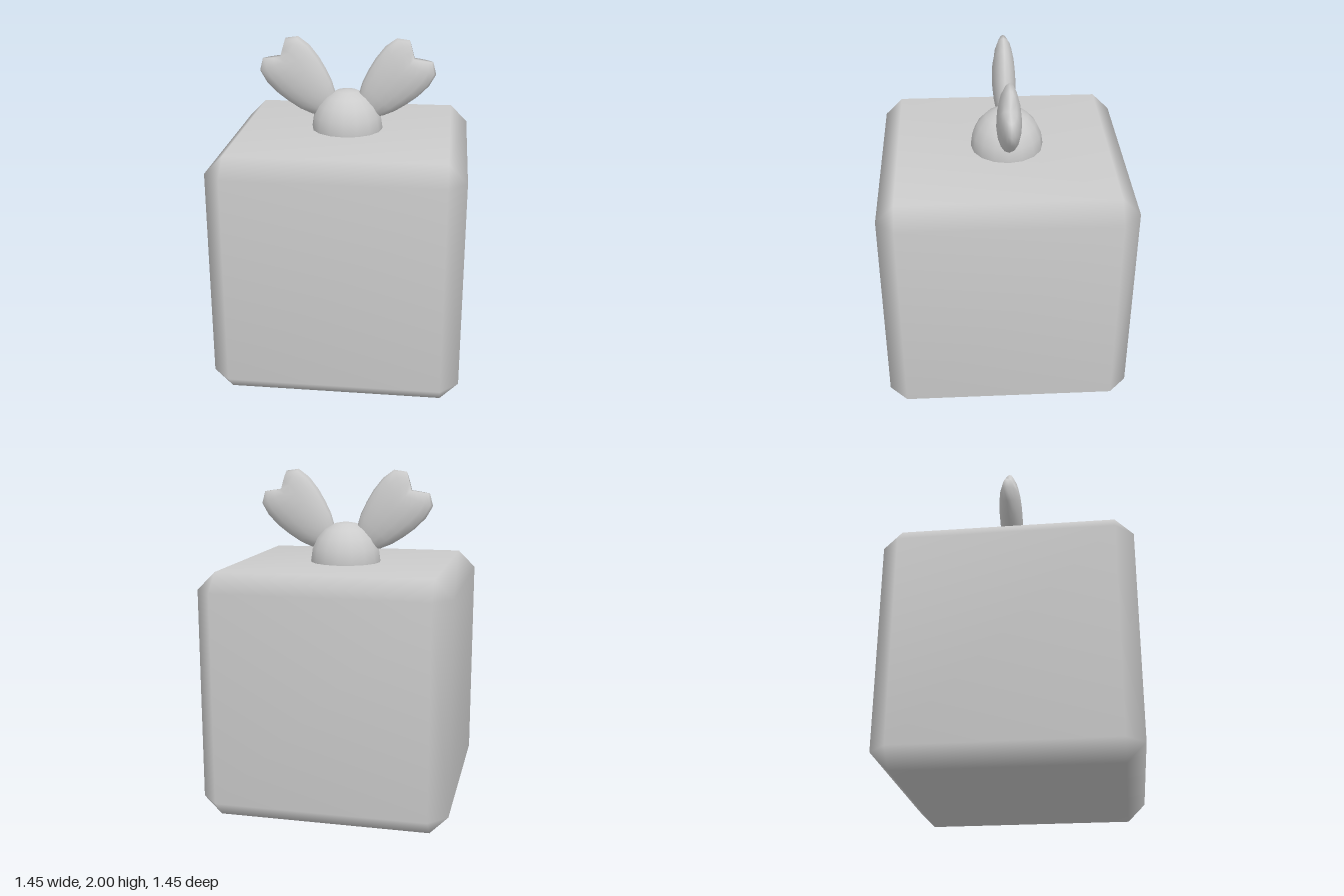
import * as THREE from 'three';
import { ConvexGeometry } from 'three/addons/geometries/ConvexGeometry.js';
import { mergeVertices } from 'three/addons/utils/BufferGeometryUtils.js';

const material = new THREE.MeshStandardMaterial({ color: 0xcccccc });

// Weld shared corners so the shading runs smoothly across faces
function smooth(geometry) {
  geometry.deleteAttribute('normal');
  geometry.deleteAttribute('uv');
  const welded = mergeVertices(geometry, 1e-4);
  welded.computeVertexNormals();
  return welded;
}

// Cube whose edges and corners are cut by a single chamfer
function chamferedCube(half, chamfer) {
  const inner = half - chamfer;
  const points = [];
  for (const x of [-1, 1]) for (const y of [-1, 1]) for (const z of [-1, 1]) {
    points.push(
      new THREE.Vector3(x * half, y * inner, z * inner),
      new THREE.Vector3(x * inner, y * half, z * inner),
      new THREE.Vector3(x * inner, y * inner, z * half));
  }
  return smooth(new ConvexGeometry(points));
}

// Flattened leaf with a notched tip; each row is [along, half width, half thickness, notch dip]
function leafGeometry() {
  const rows = [
    [0, 0, 0, 0],
    [0.062, 0.094, 0.035, 0.062],
    [0.02, 0.157, 0.054, 0.06],
    [-0.06, 0.174, 0.065, 0.03],
    [-0.15, 0.169, 0.07, 0],
    [-0.23, 0.153, 0.07, 0],
    [-0.31, 0.13, 0.063, 0],
    [-0.38, 0.097, 0.05, 0],
    [-0.435, 0.052, 0.029, 0],
    [-0.455, 0, 0, 0],
  ];
  const sides = 16;
  const geometry = new THREE.SphereGeometry(1, sides, rows.length - 1);
  const position = geometry.attributes.position;
  for (let i = 0; i < position.count; i++) {
    const [along, width, thickness, dip] = rows[Math.floor(i / (sides + 1))];
    const angle = (i % (sides + 1)) / sides * Math.PI * 2;
    const c = Math.cos(angle);
    position.setXYZ(i, -c * width, along - dip * (1 - Math.abs(c)), Math.sin(angle) * thickness);
  }
  return smooth(geometry);
}

export function createModel() {
  const model = new THREE.Group();
  const add = (name, geometry, x, y, z) => {
    const mesh = new THREE.Mesh(geometry, material);
    mesh.name = name;
    mesh.position.set(x, y, z);
    model.add(mesh);
    return mesh;
  };

  // Body
  add('body', chamferedCube(0.725, 0.105), 0, 0.725, 0);

  // Round bud set into the top
  add('bud', new THREE.SphereGeometry(0.213, 16, 10), 0, 1.46, -0.023).scale.y = 1.08;

  // Mirrored pair of leaves
  const leaf = leafGeometry();
  for (const [name, side] of [['leftLeaf', 1], ['rightLeaf', -1]]) {
    add(name, leaf, side * 0.395, 1.88, -0.02).rotation.z = -side * 0.73;
  }

  return model;
}
